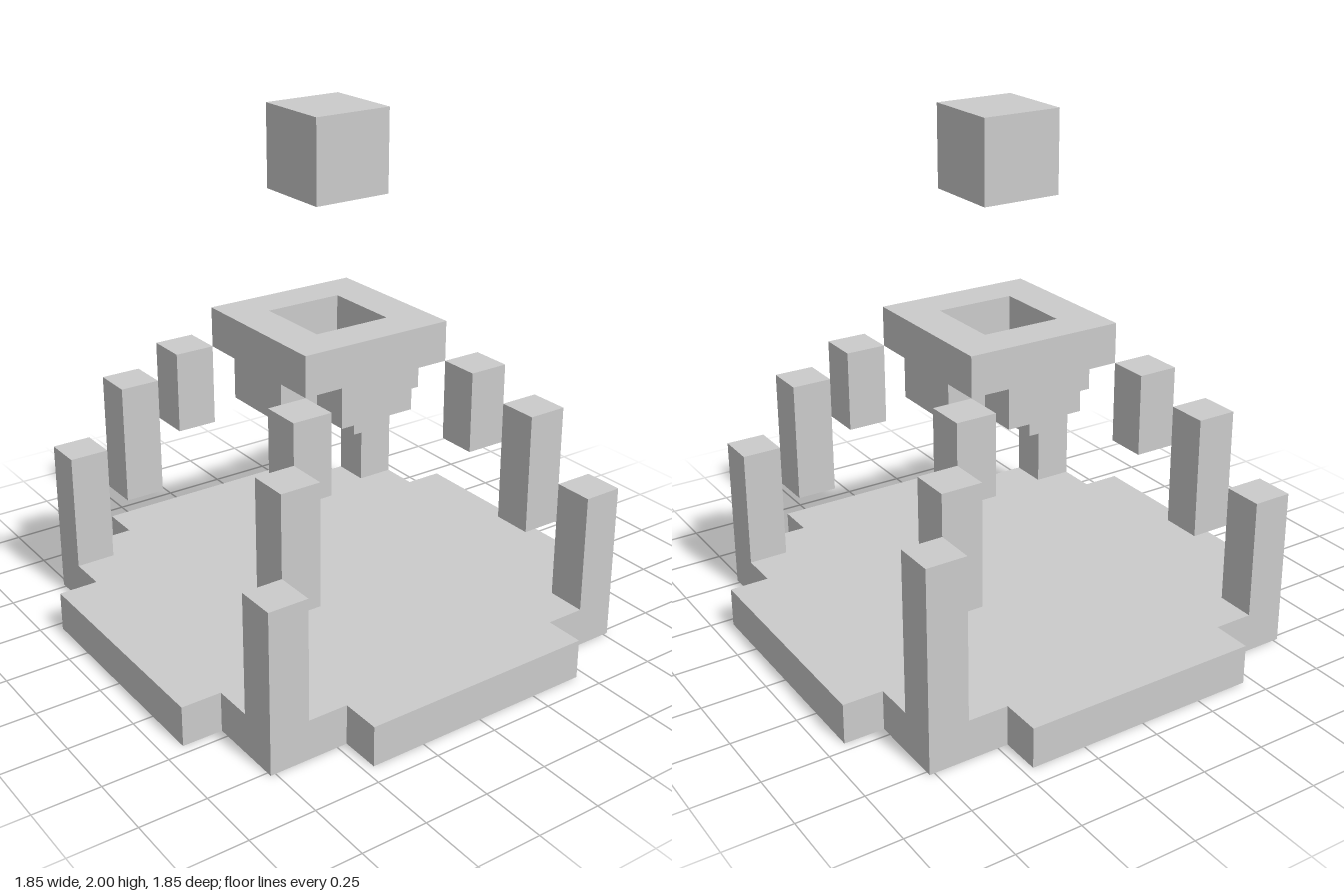
import * as THREE from 'three';

const U = 2 / 13; // block size
const material = new THREE.MeshStandardMaterial({ color: 0xcccccc, flatShading: true });

// Box spanning y0..y1, centred on (x, z), all in blocks
function block(name, width, x, z, y0, y1) {
  const mesh = new THREE.Mesh(new THREE.BoxGeometry(width * U, (y1 - y0) * U, width * U), material);
  mesh.position.set(x * U, (y0 + y1) / 2 * U, z * U);
  mesh.name = name;
  return mesh;
}

// Flat slab from a plan outline, spanning y0..y1
function slab(name, outline, y0, y1, hole) {
  const points = (list) => list.map(([x, z]) => new THREE.Vector2(x * U, z * U));
  const shape = new THREE.Shape(points(outline));
  if (hole) shape.holes.push(new THREE.Path(points(hole)));
  const geometry = new THREE.ExtrudeGeometry(shape, { depth: (y1 - y0) * U, bevelEnabled: false });
  geometry.rotateX(-Math.PI / 2);
  const mesh = new THREE.Mesh(geometry, material);
  mesh.position.y = y0 * U;
  mesh.name = name;
  return mesh;
}

// Repeats one corner of an outline by quarter turns
function fourfold(corner) {
  const outline = [];
  let points = corner;
  for (let i = 0; i < 4; i++) {
    outline.push(...points);
    points = points.map(([x, z]) => [-z, x]);
  }
  return outline;
}

export function createModel() {
  const model = new THREE.Group();
  model.name = 'pavilion';

  // Stepped base plate
  model.add(slab('base', fourfold([[6, 3], [5, 3], [5, 5], [3, 5], [3, 6]]), 0, 1));

  // Stepped arms climbing from each corner; the back right post is taller
  for (const sx of [-1, 1]) {
    for (const sz of [-1, 1]) {
      const arm = new THREE.Group();
      arm.name = `${sz > 0 ? 'front' : 'back'}${sx > 0 ? 'Left' : 'Right'}Arm`;
      const top = sx < 0 && sz < 0 ? 5 : 4;
      arm.add(
        block('outerPost', 1, 4.5 * sx, 4.5 * sz, 1, top),
        block('middlePost', 1, 3.5 * sx, 3.5 * sz, 3, 6),
        block('innerPost', 1, 2.5 * sx, 2.5 * sz, 5, 7)
      );
      model.add(arm);
    }
  }

  // Crown: square ring over a cross-shaped floor
  model.add(slab('crownFloor', fourfold([[2, 1], [1, 1], [1, 2]]), 6, 7));
  model.add(slab('crownRing', fourfold([[2, 2]]), 7, 8, fourfold([[1, 1]])));

  // Floating cube
  model.add(block('floatingCube', 2, 0, 0, 11, 13));
  return model;
}
